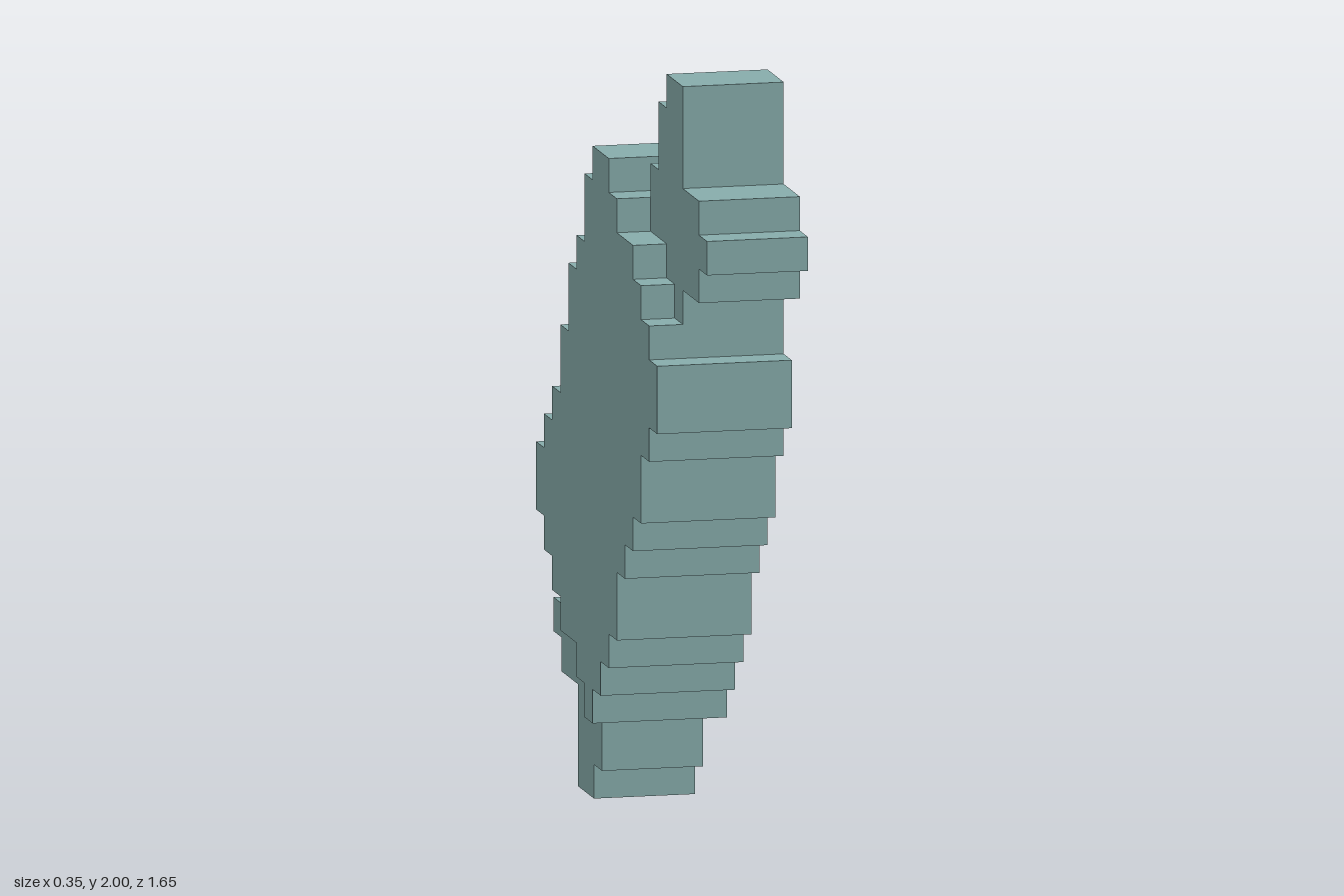
import * as THREE from 'three';

const U = 2 / 23; // edge of one cell

// Stepped outline: the list alternates column, row; each step turns a corner.
function steppedShape(steps) {
  const shape = new THREE.Shape();
  const x = (col) => (col - 9.5) * U;
  const y = (row) => 2 - row * U;
  let [col, row] = steps;
  shape.moveTo(x(col), y(row));
  for (let i = 2; i < steps.length; i++) {
    if (i % 2 === 0) col = steps[i];
    else row = steps[i];
    shape.lineTo(x(col), y(row));
  }
  shape.closePath();
  return shape;
}

// Slab of the outline between two x positions, counted in cells
function slab(name, steps, from, to, material) {
  const geometry = new THREE.ExtrudeGeometry(steppedShape(steps), {
    depth: (to - from) * U,
    bevelEnabled: false,
  });
  geometry.rotateY(Math.PI / 2);
  geometry.translate(from * U, 0, 0);
  const mesh = new THREE.Mesh(geometry, material);
  mesh.name = name;
  return mesh;
}

export function createModel() {
  const group = new THREE.Group();
  group.name = 'steppedPlate';
  const teal = new THREE.MeshStandardMaterial({ color: 0x87acab });
  teal.name = 'grey teal';

  // Sloping edges shared by the plate and its raised face
  const backEdge = [10, 4, 11, 6, 12, 7, 13, 9, 14, 11, 15, 12, 16, 13, 17, 15];
  const frontEdge = [11, 20, 10, 19, 9, 18, 8, 17, 7, 15, 6, 14, 5, 13, 4, 11, 3, 10, 2, 8];

  // Main plate with a pronged tip at the top front and the bottom back
  const plate = [
    3, 0, 5, 1, 6, 3, 7, 4, 8, 3,
    ...backEdge,
    16, 17, 18, 18, 19, 19, 18, 20, 16, 23, 14, 22, 13, 20, 12, 19,
    ...frontEdge,
    3, 6, 1, 5, 0, 4, 1, 3, 3, 0,
  ];
  group.add(slab('plateWithTips', plate, -1, 2, teal));

  // Raised oval face, without the tips
  const oval = [
    8, 3,
    ...backEdge,
    16, 16, 15, 17, 14, 18, 12, 19,
    ...frontEdge,
    3, 7, 4, 6, 5, 5, 7, 4, 8, 3,
  ];
  group.add(slab('raisedOval', oval, -2, -1, teal));

  return group;
}
